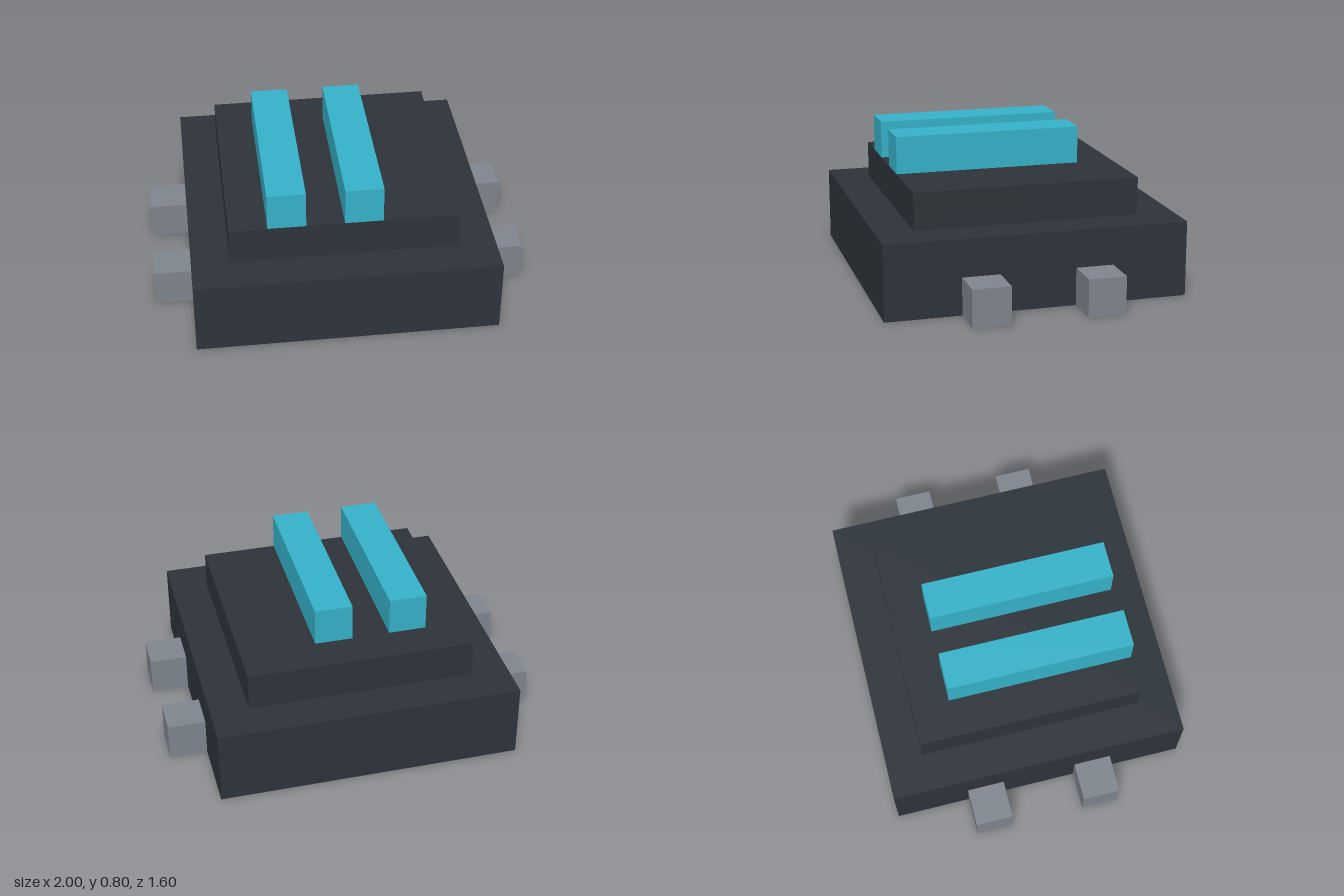
import * as THREE from 'three';

export function createModel() {
  const model = new THREE.Group();
  model.name = 'steppedBlock';

  const material = (name, color) => {
    const m = new THREE.MeshStandardMaterial({ color });
    m.name = name;
    return m;
  };
  const charcoal = material('charcoal', 0x2d343a);
  const teal = material('teal', 0x36b3ca);
  const grey = material('grey', 0x7f868e);

  // Box given by its size, the centre of its base and its material
  const addBox = (name, [w, h, d], [x, y, z], mat) => {
    const mesh = new THREE.Mesh(new THREE.BoxGeometry(w, h, d), mat);
    mesh.name = name;
    mesh.position.set(x, y + h / 2, z);
    model.add(mesh);
  };

  // Two-step body
  addBox('base', [1.6, 0.4, 1.6], [0, 0, 0], charcoal);
  addBox('upperStep', [1.2, 0.2, 1.2], [0, 0.4, 0], charcoal);

  // Long bars on top, flush with the front of the upper step
  addBox('rightBar', [0.2, 0.2, 1], [-0.3, 0.6, 0.1], teal);
  addBox('leftBar', [0.2, 0.2, 1], [0.1, 0.6, 0.1], teal);

  // Two feet on each side
  for (const [side, x] of [['left', 0.9], ['right', -0.9]]) {
    for (const [end, z] of [['Front', 0.3], ['Back', -0.3]]) {
      addBox(side + end + 'Foot', [0.2, 0.2, 0.2], [x, 0, z], grey);
    }
  }

  return model;
}
